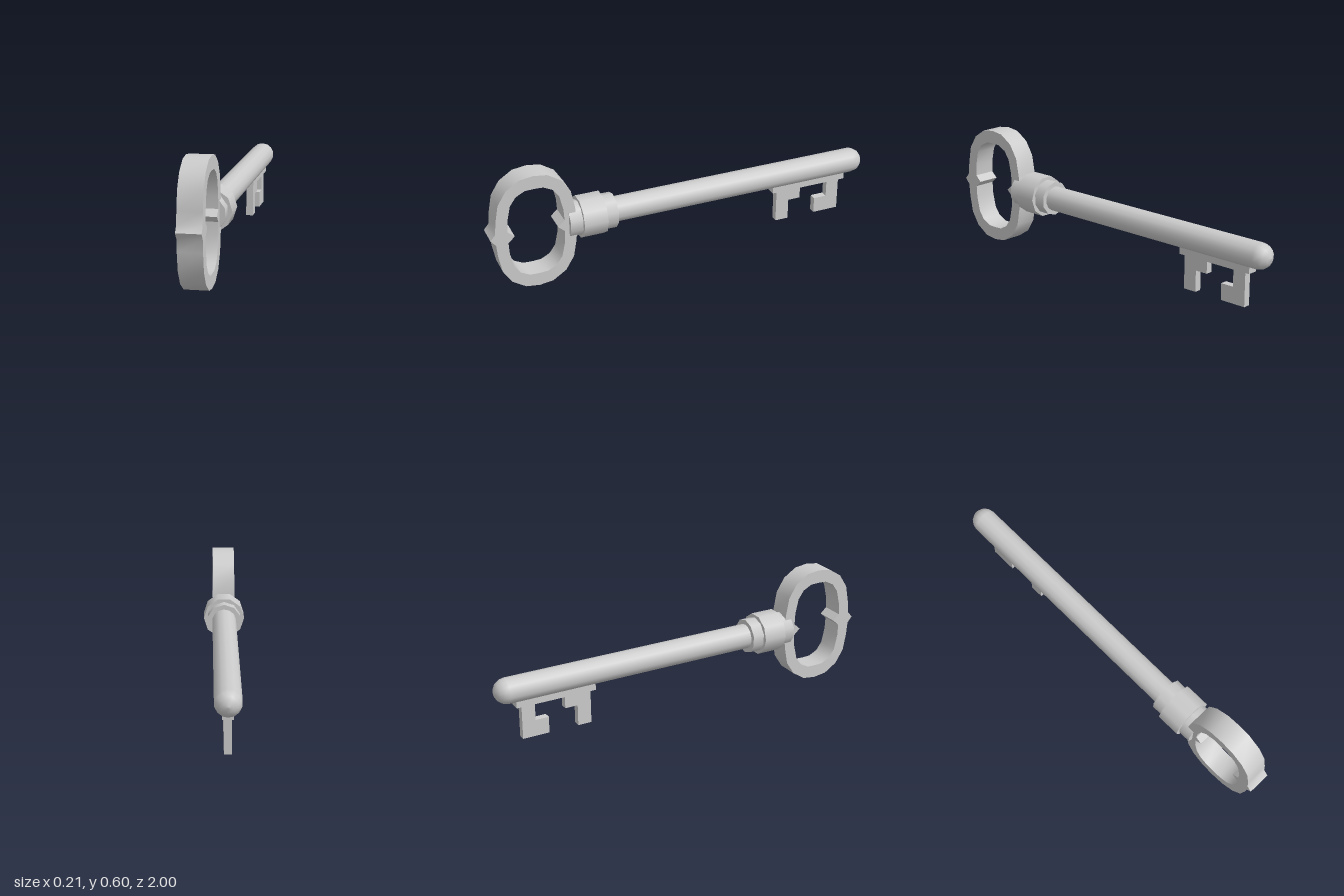
import * as THREE from 'three';
import { toCreasedNormals } from 'three/addons/utils/BufferGeometryUtils.js';

const AXIS_Y = 0.3; // height of the shaft axis
const BOW_Z = 0.775; // centre of the ring handle

// Mirror a quarter outline (from side spike to top) into a closed loop
function mirrorLoop(quarter) {
  const right = quarter.map(([x, y]) => new THREE.Vector2(x, y));
  const upper = [...right, ...right.slice(0, -1).reverse().map((p) => new THREE.Vector2(-p.x, p.y))];
  const lower = upper.slice(1, -1).reverse().map((p) => new THREE.Vector2(p.x, -p.y));
  return [...upper, ...lower];
}

// Extrude a side profile drawn as (z, y), centred on x = 0
function extrudeSide(shape, width) {
  const geometry = new THREE.ExtrudeGeometry(shape, { depth: width, bevelEnabled: false });
  geometry.translate(0, 0, -width / 2).rotateY(-Math.PI / 2);
  return toCreasedNormals(geometry, 0.62);
}

export function createModel() {
  const model = new THREE.Group();
  model.name = 'key';
  const material = new THREE.MeshStandardMaterial({ color: 0xcccccc });

  function add(name, geometry, y = 0, z = 0) {
    const mesh = new THREE.Mesh(geometry, material);
    mesh.name = name;
    mesh.position.set(0, y, z);
    model.add(mesh);
    return mesh;
  }

  // Ring handle with pointed spurs on both sides
  const bow = new THREE.Shape(mirrorLoop([
    [0.225, 0], [0.2, 0.03], [0.195, 0.09], [0.178, 0.18], [0.135, 0.248], [0.068, 0.291], [0, 0.3],
  ]));
  bow.holes.push(new THREE.Path(mirrorLoop([
    [0.107, 0], [0.14, 0.03], [0.137, 0.09], [0.12, 0.165], [0.09, 0.207], [0.045, 0.23], [0, 0.232],
  ])));
  add('bow', extrudeSide(bow, 0.115), AXIS_Y, BOW_Z);

  // Ten-sided collars around the shaft
  function collar(name, radius, zMin, zMax, turn) {
    const geometry = new THREE.CylinderGeometry(radius, radius, zMax - zMin, 10, 1, false, turn);
    add(name, geometry.rotateX(Math.PI / 2), AXIS_Y, (zMin + zMax) / 2);
  }
  collar('innerCollar', 0.088, 0.37, 0.613, 0);
  collar('outerCollar', 0.106, 0.43, 0.55, Math.PI / 2);

  // Shaft with a rounded tip
  const profile = [new THREE.Vector2(0.063, -0.5)];
  for (let i = 0; i <= 4; i++) {
    const a = (i / 4) * (Math.PI / 2);
    profile.push(new THREE.Vector2(i === 4 ? 0 : 0.063 * Math.cos(a), 0.938 + 0.062 * Math.sin(a)));
  }
  add('shaft', new THREE.LatheGeometry(profile, 14).rotateX(-Math.PI / 2), AXIS_Y);

  // Plate under the shaft that carries the teeth
  add('bitPlate', new THREE.BoxGeometry(0.052, 0.045, 0.41), 0.2325, -0.695);

  // Two L-shaped teeth
  const teeth = {
    rearTooth: [[-0.515, 0.215], [-0.65, 0.215], [-0.65, 0.147], [-0.585, 0.147], [-0.585, 0.04], [-0.515, 0.04]],
    tipTooth: [[-0.805, 0.215], [-0.873, 0.215], [-0.873, 0.04], [-0.737, 0.04], [-0.737, 0.123], [-0.805, 0.123]],
  };
  for (const [name, points] of Object.entries(teeth)) {
    const shape = new THREE.Shape(points.map(([z, y]) => new THREE.Vector2(z, y)));
    add(name, extrudeSide(shape, 0.036));
  }

  return model;
}
